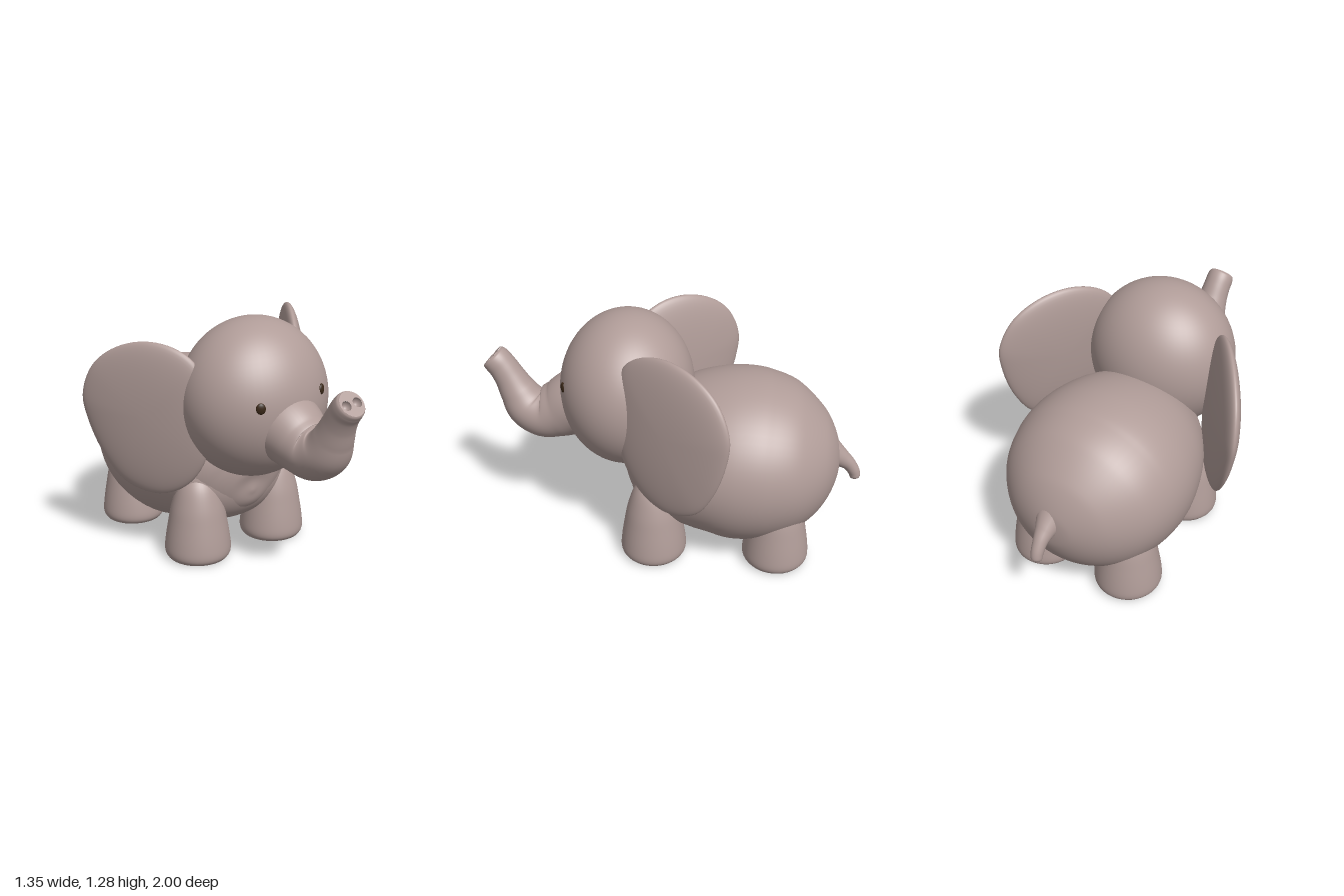
import * as THREE from 'three';
import { mergeVertices } from 'three/addons/utils/BufferGeometryUtils.js';
import { ParametricGeometry } from 'three/addons/geometries/ParametricGeometry.js';

const skin = new THREE.MeshStandardMaterial({ color: 0xb09c98 });
skin.name = 'warmGreySkin';
const eyeBrown = new THREE.MeshStandardMaterial({ color: 0x3a2818 });
eyeBrown.name = 'darkBrownEye';

function add(parent, name, geometry, material = skin) {
  const mesh = new THREE.Mesh(geometry, material);
  mesh.name = name;
  parent.add(mesh);
  return mesh;
}

// Weld seams and recompute smooth normals
function smooth(geometry) {
  geometry.deleteAttribute('uv');
  geometry.deleteAttribute('normal');
  const welded = mergeVertices(geometry, 1e-5);
  welded.computeVertexNormals();
  return welded;
}

// Round sweep along a path in the x = 0 plane; each point is [y, z, radius]
function sweep(points, sides = 48, steps = 72) {
  const path = new THREE.CatmullRomCurve3(points.map(([y, z, r]) => new THREE.Vector3(r, y, z)));
  return smooth(new ParametricGeometry((u, v, out) => {
    const p = path.getPoint(v);
    const t = path.getTangent(v);
    const len = Math.hypot(t.y, t.z);
    const a = u * Math.PI * 2;
    const r = Math.max(p.x, 0);
    const b = r * Math.sin(a) / len;
    out.set(r * Math.cos(a), p.y + t.z * b, p.z - t.y * b);
  }, sides, steps));
}

function ellipsoid(parent, name, pos, radii, material) {
  const mesh = add(parent, name, new THREE.SphereGeometry(1, 56, 40), material);
  mesh.position.set(...pos);
  mesh.scale.set(...radii);
  return mesh;
}

// Pillow-shaped ear: a sphere whose rings follow a closed outline
function earGeometry() {
  const outline = new THREE.CatmullRomCurve3([
    [0.24, 0.40], [0.42, 0.455], [0.53, 0.60], [0.60, 0.80], [0.61, 0.93], [0.54, 1.08],
    [0.41, 1.175], [0.24, 1.215], [0.08, 1.185], [-0.03, 1.10], [-0.08, 0.88],
    [-0.04, 0.62], [0.08, 0.46],
  ].map(([u, v]) => new THREE.Vector3(u, v, 0)), true);
  const geo = new THREE.SphereGeometry(1, 72, 32);
  const pos = geo.attributes.position;
  const cu = 0.26, cv = 0.84;
  for (let i = 0; i < pos.count; i++) {
    const r = Math.hypot(pos.getX(i), pos.getZ(i));
    const p = outline.getPoint(THREE.MathUtils.clamp(geo.attributes.uv.getX(i), 0, 1) % 1);
    pos.setXYZ(i, cu + (p.x - cu) * r, cv + (p.y - cv) * r, pos.getY(i) * 0.065);
  }
  return smooth(geo);
}

function buildBody(parent) {
  const body = add(parent, 'body', sweep([
    [0.49, -0.885, 0], [0.49, -0.87, 0.11], [0.49, -0.80, 0.255], [0.49, -0.66, 0.385],
    [0.495, -0.50, 0.445], [0.50, -0.35, 0.46], [0.49, -0.20, 0.44], [0.455, -0.05, 0.39],
    [0.41, 0.08, 0.32], [0.37, 0.17, 0.23], [0.35, 0.22, 0.13], [0.345, 0.24, 0],
  ], 64, 96));
  body.scale.x = 1.055;
  ellipsoid(parent, 'shoulders', [0, 0.41, 0.02], [0.37, 0.27, 0.22]);

  // Tail
  const tail = add(parent, 'tail', sweep([
    [0.54, -0.82, 0.085], [0.50, -0.89, 0.052], [0.465, -0.935, 0.037],
    [0.415, -0.968, 0.031], [0.385, -0.975, 0.026], [0.37, -0.977, 0],
  ], 24, 40));
  tail.position.x = 0.015;

  // Stubby tapered legs with rounded feet
  const profile = new THREE.SplineCurve([
    [0, 0], [0.135, 0], [0.162, 0.01], [0.175, 0.04], [0.171, 0.1], [0.155, 0.2],
    [0.135, 0.3], [0.10, 0.4], [0.05, 0.46], [0, 0.475],
  ].map(([r, y]) => new THREE.Vector2(r, y)));
  const points = profile.getPoints(45);
  points.forEach((p) => p.set(Math.max(p.x, 0), Math.max(p.y, 0)));
  const legGeo = new THREE.LatheGeometry(points, 40);
  for (const [name, z] of [['front', 0.09], ['rear', -0.565]]) {
    for (const side of [1, -1]) {
      add(parent, name + (side > 0 ? 'LeftLeg' : 'RightLeg'), legGeo).position.set(side * 0.25, 0, z);
    }
  }
}

function buildHead(parent) {
  // The head is tipped slightly sideways about its centre
  const tilt = new THREE.Group();
  tilt.name = 'head';
  tilt.position.set(-0.008, 0.87, 0);
  tilt.rotation.z = 0.09;
  parent.add(tilt);
  const head = new THREE.Group();
  head.name = 'headParts';
  head.position.y = -0.87;
  tilt.add(head);

  ellipsoid(head, 'skull', [0, 0.87, 0.245], [0.398, 0.41, 0.35]);

  const earGeo = earGeometry();
  for (const side of [1, -1]) {
    const label = side > 0 ? 'left' : 'right';
    const ear = add(head, label + 'Ear', earGeo);
    ear.position.set(side * 0.33, 0, 0.2);
    ear.rotation.y = side > 0 ? 0.985 : Math.PI - 0.985;
    const eye = ellipsoid(head, label + 'Eye', [side * 0.19, 0.927, 0.546], [0.024, 0.028, 0.012], eyeBrown);
    eye.rotation.y = side * 0.5;
  }

  // Raised trunk
  add(head, 'trunk', sweep([
    [0.80, 0.35, 0.22], [0.76, 0.52, 0.18], [0.715, 0.62, 0.152], [0.695, 0.70, 0.137],
    [0.73, 0.78, 0.122], [0.81, 0.832, 0.098], [0.885, 0.87, 0.082], [0.945, 0.905, 0.076],
    [0.98, 0.933, 0.075], [0.996, 0.95, 0.071], [1.003, 0.957, 0.064],
  ]));

  // Trunk tip with two hollow nostrils
  const tip = new THREE.Group();
  tip.name = 'trunkTip';
  tip.position.set(0, 1.003, 0.957);
  tip.rotation.x = -0.75;
  head.add(tip);
  const disc = new THREE.Shape().absarc(0, 0, 0.065, 0, Math.PI * 2);
  const cup = [];
  for (let i = 0; i <= 8; i++) {
    const a = (i / 8) * Math.PI / 2;
    cup.push(new THREE.Vector2(0.024 * Math.cos(a), -0.03 * Math.sin(a)));
  }
  const cupGeo = new THREE.LatheGeometry(cup, 24).rotateX(Math.PI / 2);
  for (const side of [1, -1]) {
    disc.holes.push(new THREE.Path().absarc(side * 0.032, 0, 0.024, 0, Math.PI * 2, true));
    add(tip, side > 0 ? 'leftNostril' : 'rightNostril', cupGeo).position.x = side * 0.032;
  }
  add(tip, 'trunkTipFace', new THREE.ShapeGeometry(disc, 24));
}

export function createModel() {
  const model = new THREE.Group();
  model.name = 'elephant';
  buildBody(model);
  buildHead(model);
  return model;
}
